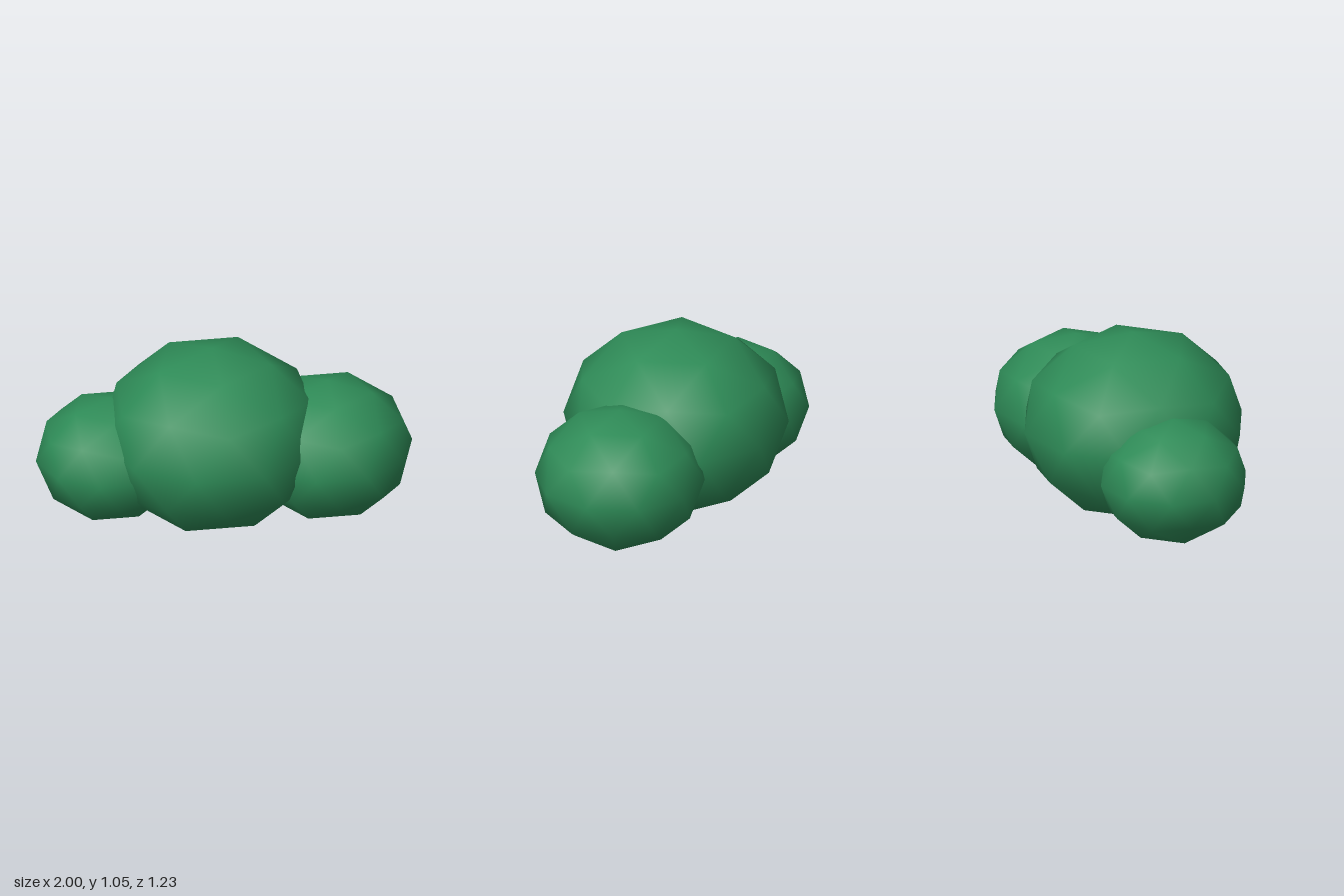
import * as THREE from 'three';

export function createModel() {
  const group = new THREE.Group();
  group.name = 'bush';

  const leafGreen = new THREE.MeshStandardMaterial({ color: 0x2e8b57 });
  leafGreen.name = 'leaf green';

  // Smooth low-poly ball, turned so one corner points straight up
  const ball = new THREE.IcosahedronGeometry(1, 1);
  ball.rotateZ(-Math.atan(2 / (1 + Math.sqrt(5))));

  // Each clump is a ball flattened in height
  const addClump = (name, radius, x, y, z) => {
    const clump = new THREE.Mesh(ball, leafGreen);
    clump.name = name;
    clump.scale.set(radius, radius * 0.85, radius);
    clump.position.set(x, y, z);
    group.add(clump);
  };

  addClump('middleClump', 0.615, -0.062, 0.527, 0);
  addClump('leftClump', 0.464, 0.556, 0.432, -0.14);
  addClump('rightClump', 0.41, -0.61, 0.392, 0.066);

  return group;
}
